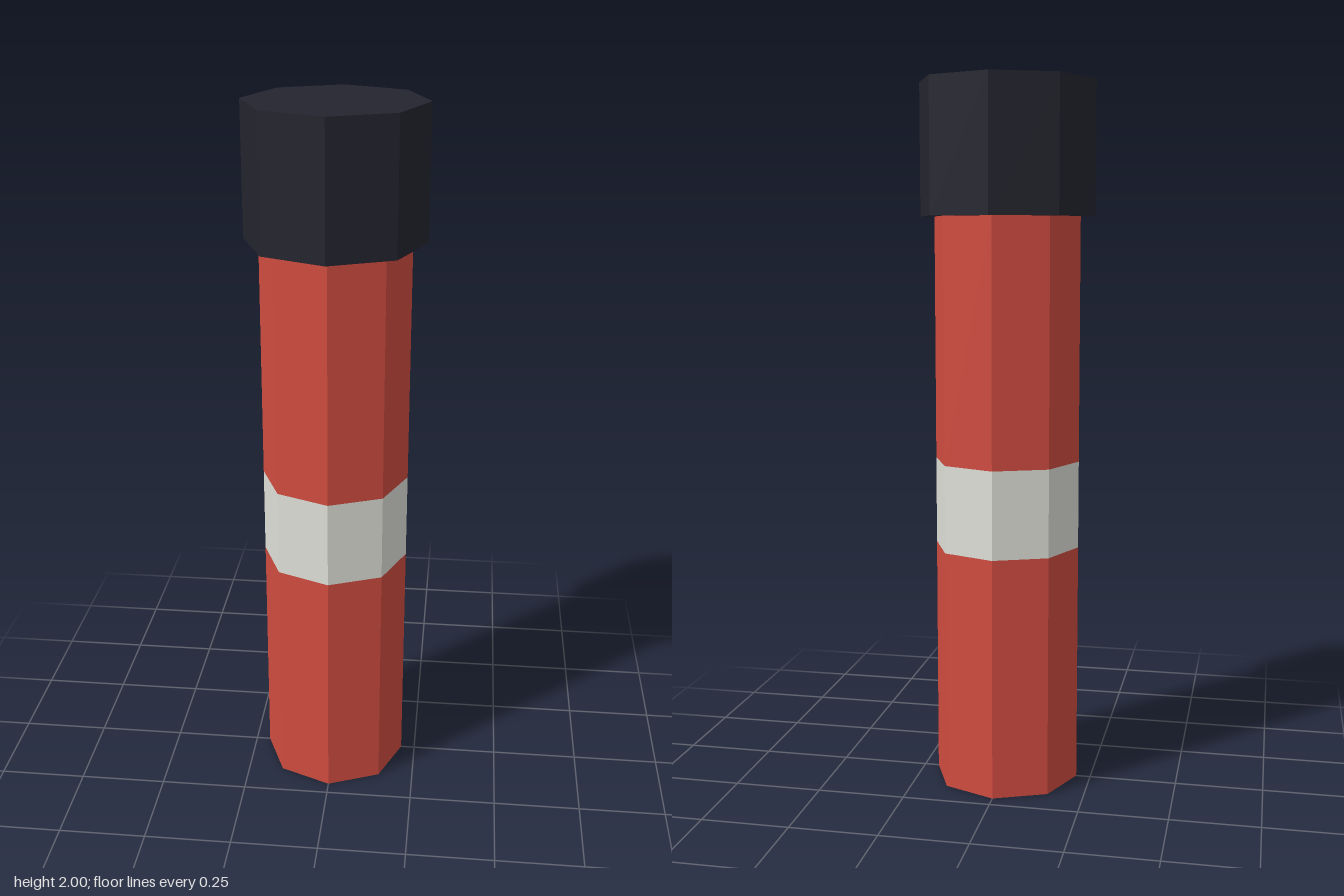
import * as THREE from 'three';

const SIDES = 8;

export function createModel() {
  const group = new THREE.Group();
  group.name = 'flareStick';

  const material = (name, color) => {
    const m = new THREE.MeshStandardMaterial({ color, flatShading: true });
    m.name = name;
    return m;
  };
  const red = material('red', 0xd04c40);
  const white = material('offWhite', 0xdfe0d8);
  const black = material('blueBlack', 0x24242f);

  // Octagonal prism between two heights, corners on the x and z axes
  const prism = (name, radius, bottom, top, mat, open = false) => {
    const geometry = new THREE.CylinderGeometry(radius, radius, top - bottom, SIDES, 1, open);
    const mesh = new THREE.Mesh(geometry, mat);
    mesh.name = name;
    mesh.position.y = (bottom + top) / 2;
    group.add(mesh);
  };

  // Tube with a flush label band
  prism('lowerBody', 0.209, 0, 0.69, red);
  prism('labelBand', 0.209, 0.69, 0.94, white, true);
  prism('upperBody', 0.209, 0.94, 1.64, red);

  // Wider cap
  prism('cap', 0.25, 1.63, 2, black);

  return group;
}
